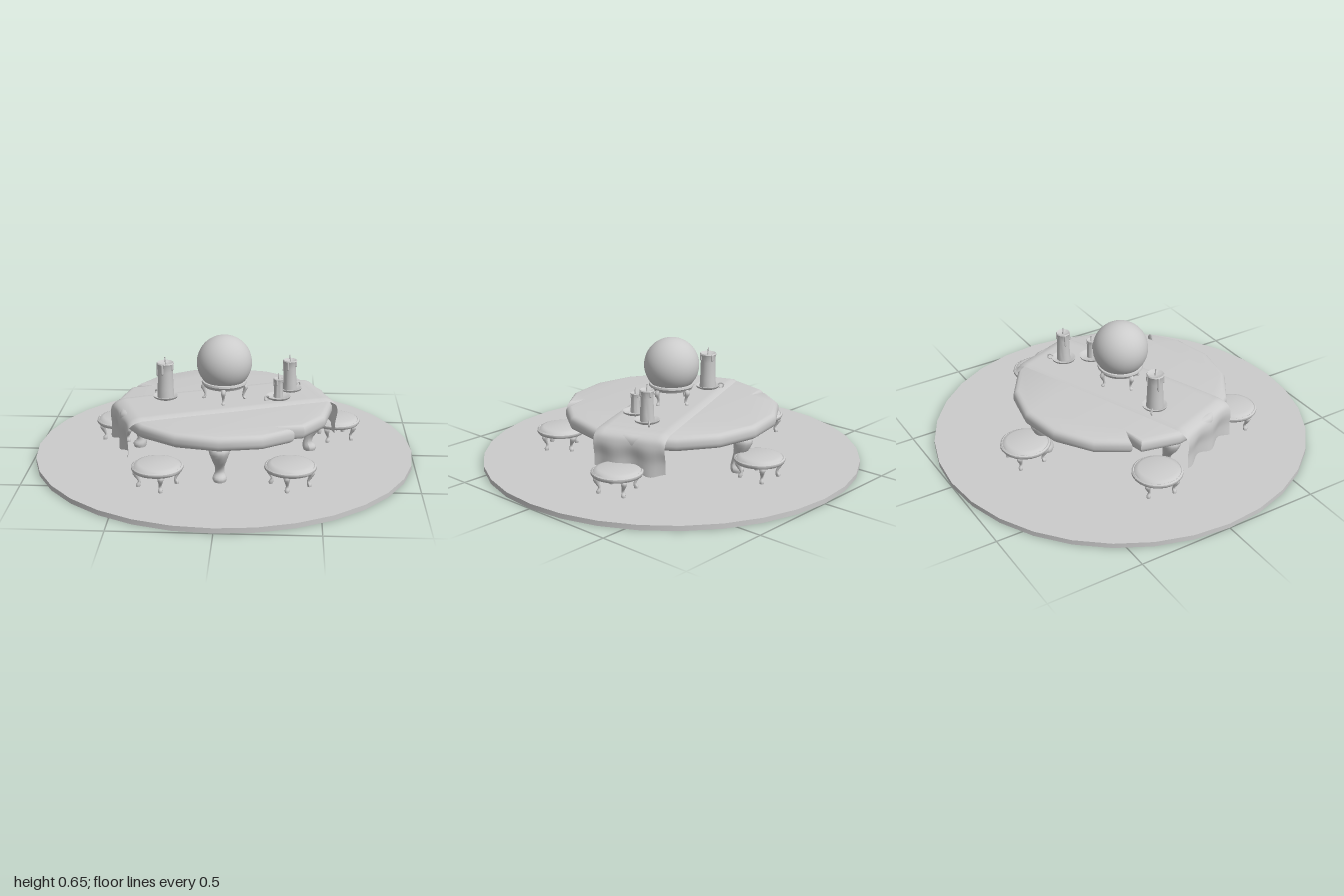
import * as THREE from 'three';
import { toCreasedNormals } from 'three/addons/utils/BufferGeometryUtils.js';

const material = new THREE.MeshStandardMaterial({ color: 0xcccccc });
const clothMaterial = new THREE.MeshStandardMaterial({ color: 0xcccccc, side: THREE.DoubleSide });

function add(parent, name, geometry, x = 0, y = 0, z = 0, mat = material) {
  const mesh = new THREE.Mesh(geometry, mat);
  mesh.name = name;
  mesh.position.set(x, y, z);
  parent.add(mesh);
  return mesh;
}

// Smooth turned part from [radius, y] pairs listed bottom to top
function lathe(profile, segments) {
  const points = profile.map(([r, y]) => new THREE.Vector2(r, y));
  return toCreasedNormals(new THREE.LatheGeometry(points, segments), 0.8);
}

// Curved leg from [outward, y, radius] stations listed top to bottom
function cabriole(stations, sides, rows) {
  const curve = new THREE.CatmullRomCurve3(stations.map((s) => new THREE.Vector3(...s)));
  const geometry = new THREE.CylinderGeometry(1, 1, 1, sides, rows);
  const p = geometry.attributes.position;
  for (let i = 0; i < p.count; i++) {
    const c = curve.getPoint(0.5 - p.getY(i));
    p.setXYZ(i, c.x + p.getX(i) * c.z, c.y, p.getZ(i) * c.z);
  }
  geometry.computeVertexNormals();
  return geometry;
}

function addLegs(parent, name, geometry, turn = 0) {
  for (let i = 0; i < 4; i++) add(parent, name, geometry).rotation.y = turn + i * Math.PI / 2;
}

// Sixteen-sided top with two chips broken out of the rim
function tabletop() {
  const chips = {
    2: [[0.42, 0.37], [0.31, 0.39], [0.37, 0.415]],
    9: [[-0.525, -0.205], [-0.43, -0.22], [-0.5, -0.24]],
  };
  const outline = [];
  for (let i = 0; i < 16; i++) {
    const a = i * Math.PI / 8;
    outline.push(...(chips[i] || [[0.57 * Math.cos(a), 0.57 * Math.sin(a)]]));
  }
  const shape = new THREE.Shape(outline.map(([x, y]) => new THREE.Vector2(x, y)));
  const geometry = new THREE.ExtrudeGeometry(shape, {
    depth: 0.015, bevelThickness: 0.03, bevelSize: 0.03, bevelOffset: -0.03, bevelSegments: 4,
  });
  geometry.rotateX(Math.PI / 2).translate(0, 0.266, 0);
  return toCreasedNormals(geometry, 0.6);
}

// Runner bent over the table at both ends, with a wavy hem
function runner() {
  const half = [[0.46, 0.306], [0.52, 0.302], [0.56, 0.28], [0.575, 0.24], [0.572, 0.17], [0.577, 0.105]];
  const path = new THREE.CatmullRomCurve3([
    ...half.slice().reverse().map(([x, y]) => new THREE.Vector3(-x, y, 0)),
    new THREE.Vector3(0, 0.306, 0),
    ...half.map(([x, y]) => new THREE.Vector3(x, y, 0)),
  ], false, 'centripetal');
  const geometry = new THREE.PlaneGeometry(1, 0.38, 72, 16);
  const p = geometry.attributes.position;
  for (let i = 0; i < p.count; i++) {
    const c = path.getPoint(p.getX(i) + 0.5);
    const v = p.getY(i);
    const hang = THREE.MathUtils.clamp((0.29 - c.y) / 0.19, 0, 1);
    const wave = Math.sin(v * 34 + Math.sign(c.x));
    const edge = Math.abs(v) > 0.17 ? (Math.abs(v) - 0.17) * 0.5 : 0;
    p.setXYZ(i, c.x - Math.sign(c.x) * hang * 0.012 * (1 + wave), c.y + hang * 0.01 * wave - edge * (1 - hang), -v);
  }
  geometry.computeVertexNormals();
  return geometry;
}

// Candle on a dish with a finger ring, wax drips and a wick
function candle(x, z, radius, height, ringAngle) {
  const group = new THREE.Group();
  group.name = 'candle';
  group.position.set(x, 0.306, z);
  add(group, 'candleDish', lathe([[0, 0], [0.045, 0], [0.062, 0.008], [0.066, 0.018], [0.06, 0.018], [0.05, 0.01], [0, 0.01]], 24));
  const r = radius;
  add(group, 'wax', lathe([[r * 0.98, 0.008], [r * 0.92, height * 0.3], [r * 0.86, height * 0.75],
    [r * 0.92, height * 0.92], [r, height * 0.97], [r * 0.92, height], [r * 0.65, height * 0.97], [0, height * 0.94]], 20));
  [0.4, 1.9, 3.3, 5].forEach((a, i) => {
    const length = height * (0.12 + 0.1 * (i % 3));
    add(group, 'waxDrip', new THREE.CapsuleGeometry(r * 0.16, length, 3, 8),
      Math.cos(a) * r * 0.88, height * 0.95 - length / 2, Math.sin(a) * r * 0.88);
  });
  add(group, 'wick', new THREE.CylinderGeometry(0.003, 0.004, 0.04, 6), 0, height + 0.008, 0).rotation.z = 0.12;
  const ring = add(group, 'fingerRing', new THREE.TorusGeometry(0.014, 0.004, 6, 14),
    Math.cos(ringAngle) * 0.073, 0.015, Math.sin(ringAngle) * 0.073);
  ring.rotation.y = -ringAngle;
  return group;
}

function stool(x, z, seat, leg) {
  const group = new THREE.Group();
  group.name = 'stool';
  group.position.set(x, 0, z);
  add(group, 'seat', seat);
  addLegs(group, 'stoolLeg', leg, -Math.atan2(z, x) + Math.PI / 4);
  return group;
}

export function createModel() {
  const model = new THREE.Group();
  model.name = 'roundTableScene';

  add(model, 'floorDisc', toCreasedNormals(new THREE.CylinderGeometry(1, 1, 0.026, 32), 0.5), 0, 0.013, 0);

  // Table
  add(model, 'tabletop', tabletop());
  addLegs(model, 'tableLeg', cabriole([[0.455, 0.235, 0.05], [0.485, 0.205, 0.054], [0.478, 0.15, 0.038],
    [0.452, 0.1, 0.024], [0.445, 0.07, 0.025], [0.455, 0.045, 0.036], [0.455, 0.02, 0.03]], 12, 18));
  add(model, 'tableRunner', runner(), 0, 0, 0, clothMaterial).rotation.y = 0.363;

  // Crystal ball on its four-legged stand
  add(model, 'crystalBall', new THREE.SphereGeometry(0.145, 32, 24), 0, 0.506, 0);
  add(model, 'ballStandRing', lathe([[0.085, 0.378], [0.108, 0.38], [0.112, 0.39], [0.12, 0.398], [0.118, 0.408], [0.1, 0.41], [0.085, 0.378]], 28));
  addLegs(model, 'ballStandLeg', cabriole([[0.1, 0.39, 0.012], [0.113, 0.37, 0.013], [0.104, 0.345, 0.008],
    [0.1, 0.322, 0.006], [0.108, 0.312, 0.01], [0.109, 0.304, 0.008]], 8, 12));

  // Candles
  model.add(candle(-0.31, 0.015, 0.046, 0.2, -2.36));
  model.add(candle(0.345, -0.15, 0.038, 0.172, -0.88));
  model.add(candle(0.285, -0.01, 0.026, 0.112, 2.55));

  // Stools around the table
  const seat = lathe([[0, 0.106], [0.105, 0.106], [0.124, 0.111], [0.13, 0.12], [0.129, 0.13],
    [0.121, 0.135], [0.118, 0.133], [0.112, 0.141], [0.095, 0.146], [0, 0.147]], 28);
  const leg = cabriole([[0.095, 0.118, 0.016], [0.108, 0.1, 0.016], [0.1, 0.075, 0.01],
    [0.09, 0.053, 0.007], [0.096, 0.038, 0.012], [0.097, 0.024, 0.01]], 8, 12);
  [[-0.015, -0.585], [0.6, -0.19], [-0.575, -0.14], [-0.305, 0.52], [0.352, 0.485]]
    .forEach(([x, z]) => model.add(stool(x, z, seat, leg)));

  return model;
}
